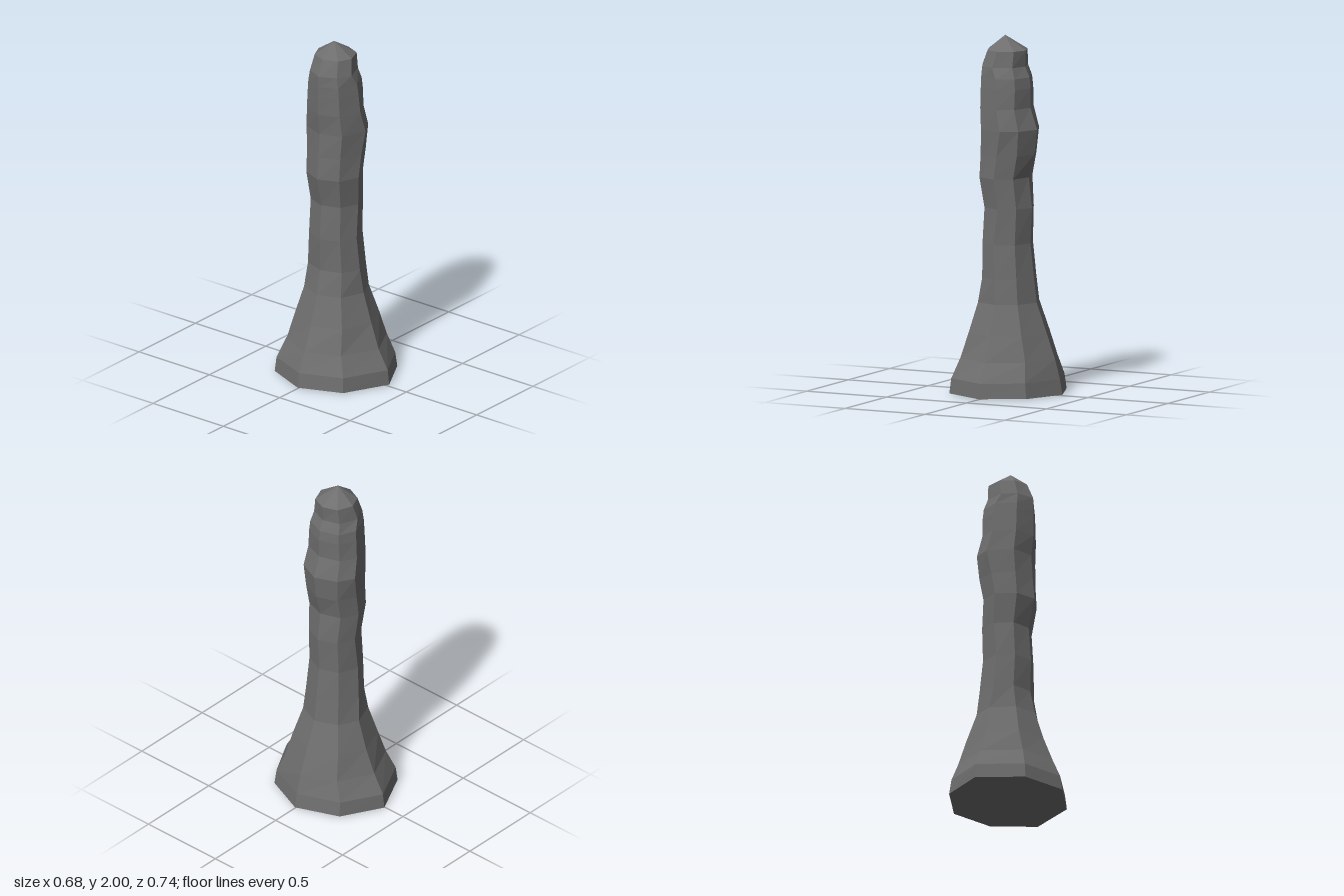
import * as THREE from 'three';

// Cross-sections of the column: height, left x, right x, x of the front/back ridge, half depth
const RINGS = [
  [0.005, -0.34, 0.34, 0.01, 0.37],
  [0.09, -0.328, 0.325, 0.01, 0.36],
  [0.2, -0.28, 0.295, 0.01, 0.295],
  [0.34, -0.225, 0.243, 0.015, 0.24],
  [0.51, -0.17, 0.18, 0.015, 0.185],
  [0.65, -0.14, 0.162, 0.0, 0.17],
  [0.84, -0.145, 0.14, -0.01, 0.155],
  [1.04, -0.13, 0.15, 0.01, 0.15],
  [1.21, -0.167, 0.13, -0.005, 0.165],
  [1.34, -0.155, 0.165, 0.015, 0.167],
  [1.48, -0.147, 0.182, 0.04, 0.178],
  [1.6, -0.16, 0.14, 0.01, 0.165],
  [1.71, -0.16, 0.142, 0.005, 0.156],
  [1.77, -0.16, 0.135, 0.0, 0.15],
  [1.83, -0.158, 0.107, -0.03, 0.135],
  [1.92, -0.12, 0.112, -0.008, 0.118],
];
const SIDES = 8;

// Eight corners of a ring, starting at +x and turning towards +z
function ringPoints([y, xl, xr, xm, rz]) {
  return Array.from({ length: SIDES }, (_, i) => {
    const a = (i / SIDES) * Math.PI * 2;
    const c = Math.cos(a), s = Math.sin(a);
    const x = Math.abs(c) < 0.01 ? xm : Math.abs(c) * (c > 0 ? xr : xl);
    const diagonal = Math.abs(c * s) > 0.1;
    return [x, y, s * rz * (diagonal ? (y < 0.3 ? 0.93 : 1) : 1)];
  });
}

function meshFrom(name, positions, material) {
  const geometry = new THREE.BufferGeometry();
  geometry.setAttribute('position', new THREE.Float32BufferAttribute(positions.flat(), 3));
  geometry.computeVertexNormals();
  const mesh = new THREE.Mesh(geometry, material);
  mesh.name = name;
  return mesh;
}

export function createModel() {
  const group = new THREE.Group();
  group.name = 'stoneColumn';
  const stone = new THREE.MeshStandardMaterial({ color: 0x6e6e6e, flatShading: true });
  stone.name = 'grey stone';

  const rings = RINGS.map(ringPoints);
  const top = rings[rings.length - 1];
  const walls = [], tip = [], underside = [];
  for (let i = 0; i < SIDES; i++) {
    const j = (i + 1) % SIDES;
    // Faceted walls between neighbouring rings
    for (let k = 0; k + 1 < rings.length; k++) {
      const a = rings[k][i], b = rings[k][j], c = rings[k + 1][i], d = rings[k + 1][j];
      walls.push(a, c, b, b, c, d);
    }
    // Low pointed top and flat underside
    tip.push(top[i], [-0.017, 2, 0], top[j]);
    underside.push(rings[0][i], rings[0][j], [0, 0, 0]);
  }
  group.add(
    meshFrom('shaft', walls, stone),
    meshFrom('pointedTip', tip, stone),
    meshFrom('underside', underside, stone),
  );
  return group;
}
